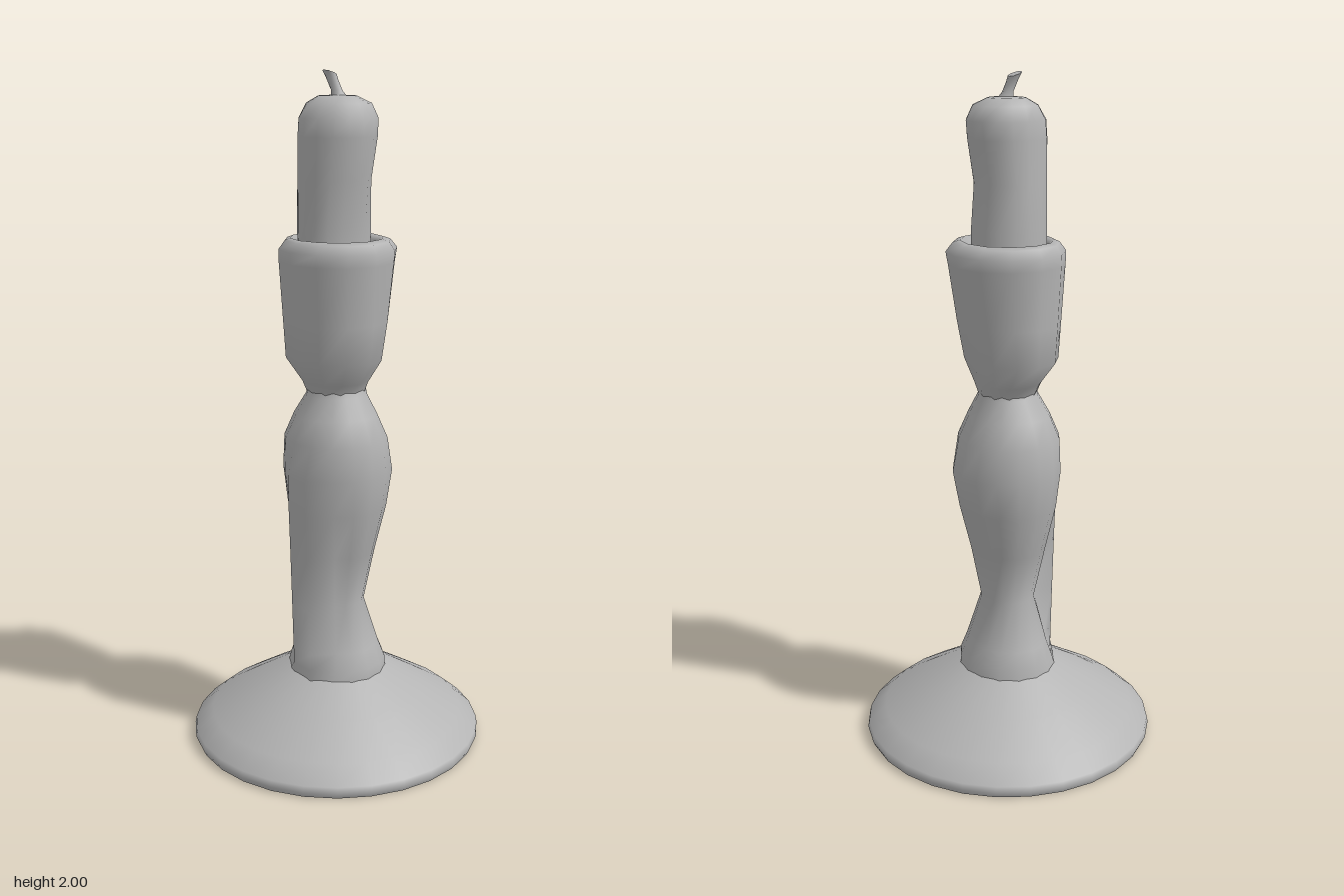
import * as THREE from 'three';

const grey = new THREE.MeshStandardMaterial({ color: 0xb4b4b4 });
grey.name = 'plain grey';

// Smooth skin through rings [y, +x, -x, +z, -z, fin]; fin pulls two corners out to a flat wall at -x.
function loft(name, rings, sides, capBottom = false, capTop = false) {
  const pos = [], index = [];
  const point = ([y, px, nx, pz, nz, fin = 0], j) => {
    const a = (j / sides) * Math.PI * 2, c = Math.cos(a), s = Math.sin(a);
    let x = c > 0 ? c * px : c * nx, z = s > 0 ? s * pz : s * nz;
    if (fin && (j === sides / 2 || j === sides / 2 - 1)) {
      x = -fin;
      z = j === sides / 2 ? -0.025 : 0.055;
    }
    return [x, y, z];
  };
  rings.forEach((r) => { for (let j = 0; j < sides; j++) pos.push(...point(r, j)); });
  for (let i = 0; i < rings.length - 1; i++) {
    for (let j = 0; j < sides; j++) {
      const a = i * sides + j, b = i * sides + (j + 1) % sides;
      index.push(a, a + sides, b, b, a + sides, b + sides);
    }
  }
  const cap = (ring, up) => {
    const base = pos.length / 3;
    for (let j = 0; j < sides; j++) pos.push(...point(ring, j));
    for (let j = 1; j < sides - 1; j++) {
      if (up) index.push(base, base + j + 1, base + j);
      else index.push(base, base + j, base + j + 1);
    }
  };
  if (capBottom) cap(rings[0], false);
  if (capTop) cap(rings[rings.length - 1], true);
  const geo = new THREE.BufferGeometry();
  geo.setAttribute('position', new THREE.Float32BufferAttribute(pos, 3));
  geo.setIndex(index);
  geo.computeVertexNormals();
  const mesh = new THREE.Mesh(geo, grey);
  mesh.name = name;
  return mesh;
}

const round = (y, r) => [y, r, r, r, r];

export function createModel() {
  const model = new THREE.Group();
  model.name = 'candlestick';

  // Wide sloping foot
  model.add(loft('foot', [
    round(0, 0.435), round(0.015, 0.442), round(0.035, 0.438),
    round(0.08, 0.385), round(0.15, 0.27), round(0.22, 0.15), round(0.235, 0.1),
  ], 28, true, true));

  // Waisted stem with a straight wall on one side
  model.add(loft('stem', [
    [0.21, 0.15, 0.145, 0.155, 0.155, 0.145],
    [0.25, 0.145, 0.13, 0.155, 0.15, 0.145],
    [0.3, 0.125, 0.11, 0.135, 0.135, 0.146],
    [0.44, 0.08, 0.08, 0.09, 0.08, 0.15],
    [0.6, 0.11, 0.11, 0.125, 0.12, 0.155],
    [0.74, 0.145, 0.14, 0.158, 0.155, 0.16],
    [0.85, 0.167, 0.155, 0.168, 0.165, 0.161],
    [0.95, 0.145, 0.155, 0.162, 0.155],
    [1.02, 0.115, 0.125, 0.13, 0.125],
    [1.08, 0.088, 0.092, 0.095, 0.085],
    [1.11, 0.085, 0.085, 0.085, 0.08],
  ], 16, false, true));

  // Faceted cup, rolling over the rim into a shallow socket
  model.add(loft('cup', [
    [1.08, 0.085, 0.085, 0.085, 0.08],
    [1.12, 0.098, 0.1, 0.1, 0.1],
    [1.19, 0.118, 0.145, 0.155, 0.155],
    [1.3, 0.14, 0.152, 0.168, 0.162],
    [1.47, 0.17, 0.165, 0.177, 0.168],
    [1.505, 0.178, 0.165, 0.178, 0.17],
    [1.53, 0.155, 0.145, 0.165, 0.155],
    [1.537, 0.135, 0.132, 0.14, 0.135],
    [1.525, 0.118, 0.118, 0.122, 0.118],
    [1.49, 0.112, 0.112, 0.115, 0.112],
  ], 12, false, true));

  // Slightly uneven candle with a softened top
  model.add(loft('candle', [
    [1.48, 0.113, 0.11, 0.08, 0.112],
    [1.57, 0.112, 0.112, 0.085, 0.113],
    [1.7, 0.095, 0.114, 0.105, 0.106],
    [1.82, 0.113, 0.116, 0.122, 0.1],
    [1.87, 0.118, 0.112, 0.12, 0.098],
    [1.91, 0.1, 0.085, 0.1, 0.085],
    [1.93, 0.055, 0.05, 0.06, 0.05],
    [1.932, 0.01, 0.01, 0.01, 0.01],
  ], 16, true, true));

  // Short bent wick
  const wick = loft('wick', [
    round(0, 0.026), round(0.025, 0.016), round(0.06, 0.017), round(0.08, 0.02),
  ], 8, false, true);
  const p = wick.geometry.attributes.position;
  for (let i = 0; i < p.count; i++) {
    const t = p.getY(i) / 0.08;
    p.setX(i, p.getX(i) - 0.022 * t);
    p.setZ(i, p.getZ(i) + 0.018 - 0.02 * t);
    p.setY(i, p.getY(i) + p.getX(i) * -0.35 * t * t - 0.015 * t * t);
  }
  wick.geometry.computeVertexNormals();
  wick.position.y = 1.92;
  model.add(wick);

  return model;
}
